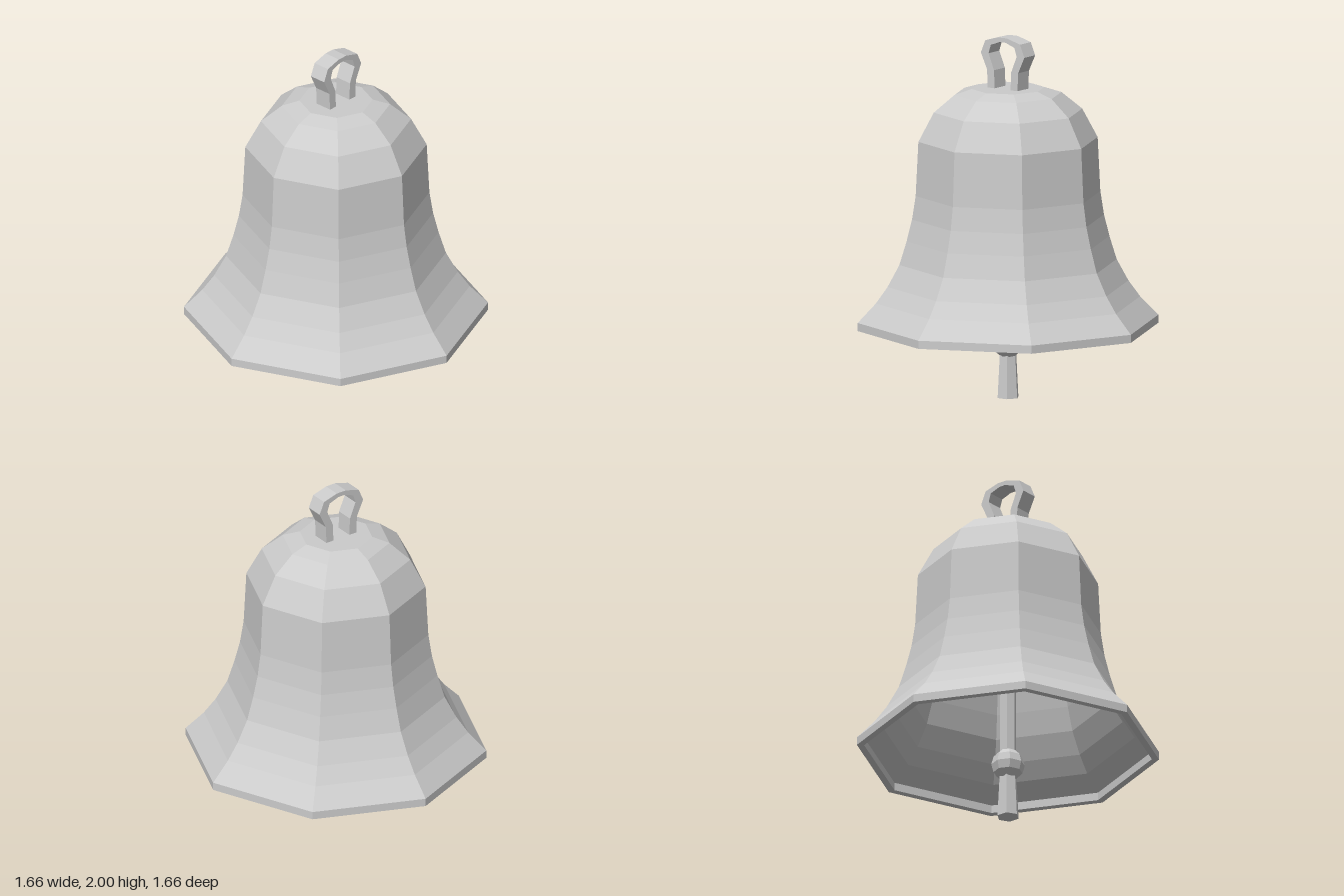
import * as THREE from 'three';

const material = new THREE.MeshStandardMaterial({ color: 0xcccccc, flatShading: true });

function add(group, name, geometry, y = 0) {
  const mesh = new THREE.Mesh(geometry, material);
  mesh.name = name;
  mesh.position.y = y;
  group.add(mesh);
  return mesh;
}

const toVectors = (pairs) => pairs.map(([x, y]) => new THREE.Vector2(x, y));

export function createModel() {
  const group = new THREE.Group();
  group.name = 'bell';

  // Eight-sided bell body: inner wall downwards, rim, outer wall upwards
  const outer = [
    [0.83, 0.435], [0.73, 0.54], [0.665, 0.63], [0.6, 0.75], [0.56, 0.88],
    [0.53, 1.0], [0.51, 1.13], [0.495, 1.43], [0.41, 1.59], [0.295, 1.685], [0.2, 1.715],
  ];
  const inner = outer.slice(1).map(([r, y]) => [r - 0.035, y - 0.025]).reverse();
  const profile = [
    [0, 1.69], ...inner, [0.79, 0.435], [0.79, 0.39], [0.83, 0.39], ...outer, [0, 1.715],
  ];
  add(group, 'bellBody', new THREE.LatheGeometry(toVectors(profile), 8));

  // Hanging loop: flat strap bent in the side plane
  const loopOuter = [[0.1, 1.7], [0.105, 1.815], [0.147, 1.905], [0.117, 1.975], [0.03, 2]];
  const loopInner = [[0.053, 1.7], [0.058, 1.815], [0.095, 1.905], [0.08, 1.953], [0.02, 1.975]];
  const mirror = (pts) => pts.map(([z, y]) => [-z, y]).reverse();
  const outline = [
    ...loopOuter, ...mirror(loopOuter), ...mirror(loopInner).reverse(), ...loopInner.slice().reverse(),
  ];
  const strap = new THREE.ExtrudeGeometry(new THREE.Shape(toVectors(outline)), {
    depth: 0.1, bevelEnabled: false,
  });
  strap.translate(0, 0, -0.05).rotateY(Math.PI / 2);
  add(group, 'hangingLoop', strap);

  // Clapper: rod, ball and flared tip
  add(group, 'clapperRod', new THREE.CylinderGeometry(0.046, 0.046, 1.4, 6), 1.0);
  add(group, 'clapperBall', new THREE.SphereGeometry(0.092, 8, 6), 0.312);
  add(group, 'clapperTip', new THREE.CylinderGeometry(0.046, 0.062, 0.3, 6), 0.15);

  return group;
}
